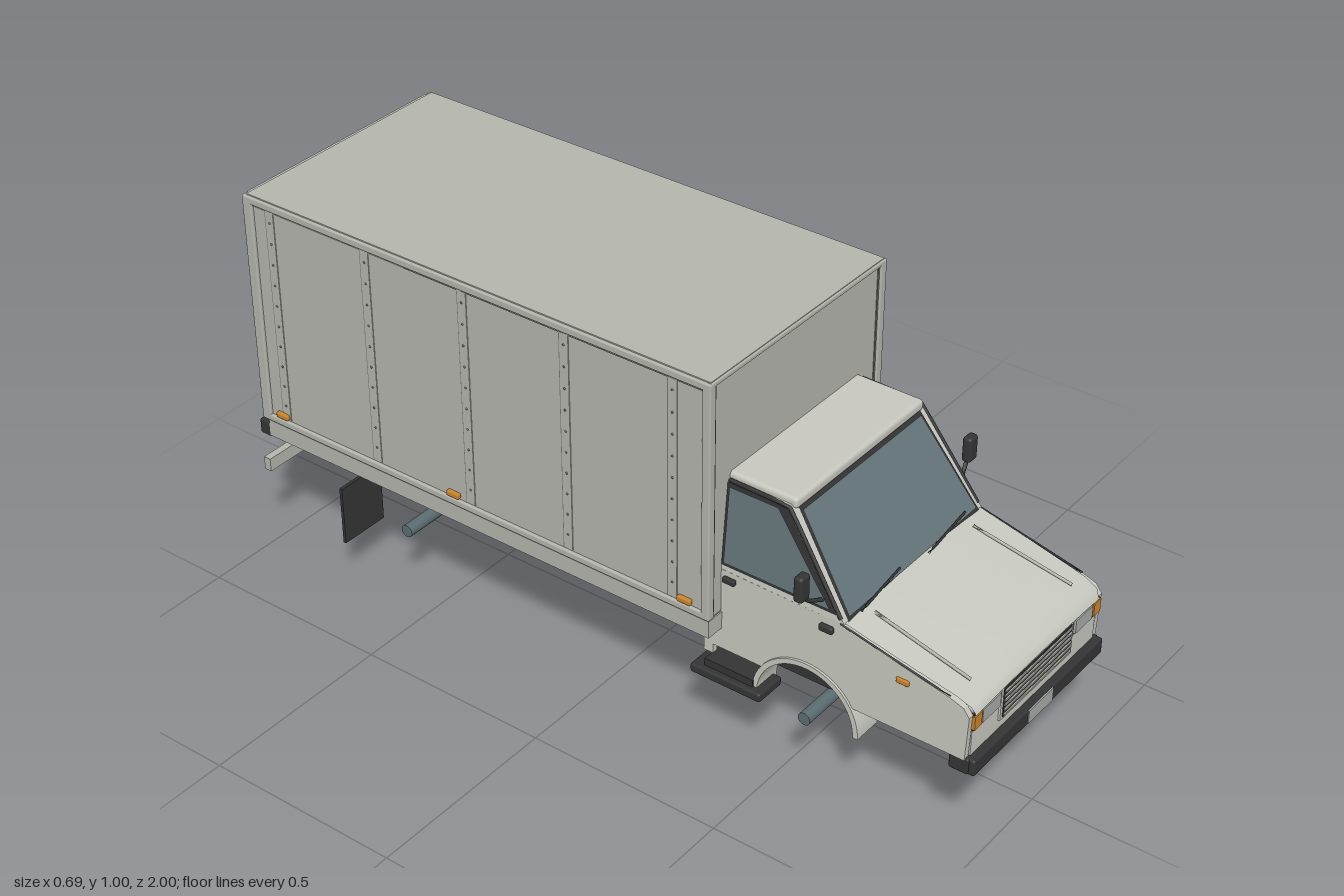
import * as THREE from 'three';
import { RoundedBoxGeometry } from 'three/addons/geometries/RoundedBoxGeometry.js';

const mat = (name, color, side = THREE.FrontSide) => {
  const m = new THREE.MeshStandardMaterial({ color, side });
  m.name = name;
  return m;
};

export function createModel() {
  const truck = new THREE.Group();
  truck.name = 'boxTruck';
  const white = mat('cabPaint', 0xc6c7be, THREE.DoubleSide);
  const grey = mat('cargoPaint', 0xb3b4ab);
  const groove = mat('seamGrey', 0x747570);
  const dark = mat('blackPlastic', 0x343434);
  const steel = mat('chassisSteel', 0x5a6c70);
  const glass = mat('glass', 0x64757a, THREE.DoubleSide);
  const amber = mat('amberLens', 0xcc8429);
  const lamp = mat('headlampLens', 0xa6aaa6);

  const add = (name, geo, material) => {
    const m = new THREE.Mesh(geo, material);
    m.name = name;
    truck.add(m);
    return m;
  };
  // Box given by its min and max on each axis
  const box = (name, material, x0, x1, y0, y1, z0, z1, r = 0) => {
    const [w, h, d] = [x1 - x0, y1 - y0, z1 - z0];
    const g = r ? new RoundedBoxGeometry(w, h, d, 2, r) : new THREE.BoxGeometry(w, h, d);
    g.translate((x0 + x1) / 2, (y0 + y1) / 2, (z0 + z1) / 2);
    return add(name, g, material);
  };
  // The same box on both sides
  const pair = (name, material, x0, x1, ...rest) => {
    box(name + 'Left', material, x0, x1, ...rest);
    box(name + 'Right', material, -x1, -x0, ...rest);
  };
  const rod = (name, material, pts, r) => add(name, new THREE.TubeGeometry(
    new THREE.CatmullRomCurve3(pts.map(p => new THREE.Vector3(...p)), false, 'catmullrom', 0.05), 8, r, 6), material);
  const quad = (name, material, pts) => {
    const g = new THREE.BufferGeometry();
    g.setAttribute('position', new THREE.Float32BufferAttribute(pts.flat(), 3));
    g.setIndex([0, 1, 2, 0, 2, 3]);
    g.computeVertexNormals();
    return add(name, g, material);
  };

  // Cargo body with its frame rails and corner posts
  box('cargoBox', grey, -0.317, 0.317, 0.39, 0.995, -0.965, 0.345);
  box('cargoFloor', grey, -0.318, 0.318, 0.34, 0.385, -0.965, 0.348);
  box('floorSeam', groove, -0.314, 0.314, 0.385, 0.39, -0.96, 0.345);
  box('roofPanel', grey, -0.318, 0.318, 0.99, 1, -0.968, 0.348);
  pair('topRail', grey, 0.312, 0.325, 0.978, 0.997, -0.97, 0.35, 0.004);
  pair('bottomRail', grey, 0.312, 0.325, 0.39, 0.408, -0.97, 0.35, 0.004);
  pair('frontPost', grey, 0.303, 0.325, 0.39, 0.997, 0.33, 0.352, 0.004);
  pair('rearPost', grey, 0.3, 0.325, 0.39, 0.997, -0.978, -0.95, 0.004);
  box('frontHeader', grey, -0.32, 0.32, 0.985, 0.998, 0.335, 0.352, 0.004);
  pair('frontSeam', groove, 0.298, 0.303, 0.4, 0.985, 0.342, 0.347);
  pair('topSeam', groove, 0.314, 0.319, 0.972, 0.977, -0.95, 0.33);

  // Panel joints with rivets, and side marker lamps
  const rivet = new THREE.SphereGeometry(0.003, 6, 4);
  for (const z of [0.25, -0.04, -0.325, -0.61, -0.9]) {
    pair('panelJoint', grey, 0.315, 0.319, 0.41, 0.975, z - 0.012, z + 0.012);
    pair('panelSeam', groove, 0.315, 0.3182, 0.41, 0.975, z - 0.0145, z - 0.012);
    for (let i = 0; i < 10; i++) for (const s of [1, -1])
      add('rivet', rivet, groove).position.set(s * 0.319, 0.45 + i * 0.055, z);
  }
  for (const z of [0.285, -0.375, -0.91]) pair('sideMarker', amber, 0.316, 0.328, 0.412, 0.426, z - 0.018, z + 0.018, 0.003);

  // Slatted roller door
  box('doorHeader', grey, -0.305, 0.305, 0.968, 0.997, -0.978, -0.96);
  box('doorBacking', groove, -0.3, 0.3, 0.4, 0.968, -0.969, -0.96);
  for (let i = 0; i < 11; i++) {
    const y = 0.402 + i * 0.0515;
    box('doorSlat', grey, -0.292, 0.292, y, y + 0.0465, -0.975, -0.96);
  }
  for (let i = 0; i < 5; i++)
    box('rearMarker', amber, -0.1 + i * 0.045, -0.08 + i * 0.045, 0.388, 0.396, -0.982, -0.964);

  // Rear bumper, tail lamps and loose lower bar
  box('rearBumper', dark, -0.318, 0.318, 0.335, 0.375, -0.998, -0.96, 0.005);
  pair('tailLamp', amber, 0.21, 0.29, 0.348, 0.364, -1, -0.99);
  pair('bumperBracket', dark, 0.11, 0.16, 0.265, 0.345, -0.95, -0.92);
  box('underrunBar', grey, -0.318, 0.318, 0.23, 0.265, -0.995, -0.975);

  // Ladder frame, cross members, axles and mud flaps
  pair('frameRail', dark, 0.137, 0.17, 0.214, 0.284, -0.885, 0.88);
  for (const z of [0.51, 0.25, -0.49, -0.615]) box('crossMember', steel, -0.165, 0.165, 0.285, 0.318, z - 0.011, z + 0.011);
  for (const z of [0.8, 0.05, -0.25, -0.84]) box('frameBrace', steel, -0.14, 0.14, 0.225, 0.275, z - 0.012, z + 0.012);
  for (const z of [0.575, -0.575]) {
    const axle = add('axle', new THREE.CylinderGeometry(0.016, 0.016, 0.55, 16), steel);
    axle.rotation.z = Math.PI / 2;
    axle.position.set(0, 0.2, z);
  }
  pair('mudFlap', dark, 0.19, 0.325, 0.125, 0.282, -0.739, -0.731);
  box('exhaustPipe', lamp, 0.165, 0.205, 0.22, 0.236, 0.1, 0.55);

  // Fuel tank with straps
  box('fuelTank', steel, 0.18, 0.285, 0.212, 0.298, -0.265, 0.005, 0.015);
  for (const z of [-0.255, -0.005]) box('tankEnd', dark, 0.175, 0.29, 0.207, 0.303, z - 0.012, z + 0.012, 0.008);
  box('tankTopStrap', dark, 0.2, 0.29, 0.29, 0.304, -0.26, 0);
  for (const z of [-0.18, -0.08]) box('tankStrap', dark, 0.176, 0.289, 0.208, 0.302, z - 0.006, z + 0.006, 0.004);

  // Lone wheel rim with hand holes
  const disc = new THREE.Shape().absarc(0, 0, 0.068, 0, Math.PI * 2);
  for (let i = 0; i < 8; i++) {
    const a = i * Math.PI / 4;
    disc.holes.push(new THREE.Path().absarc(Math.cos(a) * 0.048, Math.sin(a) * 0.048, 0.009, 0, Math.PI * 2));
  }
  const rim = new THREE.Group();
  rim.name = 'wheelRim';
  rim.add(new THREE.Mesh(new THREE.ExtrudeGeometry(disc, { depth: 0.005, bevelEnabled: false, curveSegments: 16 }), steel));
  const lip = new THREE.Mesh(new THREE.TorusGeometry(0.071, 0.005, 8, 40), dark);
  lip.position.z = 0.0025;
  const hub = new THREE.Mesh(new THREE.CylinderGeometry(0.024, 0.026, 0.01, 20).rotateX(Math.PI / 2), steel);
  hub.position.z = 0.003;
  rim.add(lip, hub);
  rim.rotation.y = Math.PI / 2;
  rim.position.set(0.036, 0.081, 0);
  truck.add(rim);

  // Cab side panels with wheel arch cut
  const side = new THREE.Shape();
  side.moveTo(0.975, 0.285);
  for (const p of [[0.98, 0.4], [0.965, 0.42], [0.93, 0.432], [0.8, 0.46], [0.66, 0.495], [0.3, 0.5], [0.3, 0.26], [0.325, 0.26], [0.325, 0.285]]) side.lineTo(...p);
  const a0 = Math.asin(0.07 / 0.135);
  side.absarc(0.575, 0.215, 0.135, Math.PI - a0, a0, true);
  side.closePath();
  const lipShape = new THREE.Shape();
  lipShape.absarc(0.575, 0.213, 0.14, 0, Math.PI, false);
  lipShape.absarc(0.575, 0.213, 0.127, Math.PI, 0, true);
  const alongX = (shape, x, depth) => new THREE.ExtrudeGeometry(shape, { depth, bevelEnabled: false, curveSegments: 24 })
    .rotateY(-Math.PI / 2).scale(-1, 1, 1).translate(x, 0, 0);
  const fixWinding = g => {
    const p = g.attributes.position.array;
    for (let i = 0; i < p.length; i += 9) for (let k = 0; k < 3; k++) [p[i + 3 + k], p[i + 6 + k]] = [p[i + 6 + k], p[i + 3 + k]];
    g.computeVertexNormals();
    return g;
  };
  for (const x of [0.255, -0.27]) add('cabSide', fixWinding(alongX(side, x, 0.015)), white);
  for (const x of [0.2, -0.276]) add('archLip', fixWinding(alongX(lipShape, x, 0.076)), white);
  for (const x of [0.19, -0.268]) add('archLiner', new THREE.CylinderGeometry(0.126, 0.126, 0.078, 24, 1, true, 0, Math.PI)
    .rotateZ(Math.PI / 2).translate(x + 0.039, 0.213, 0.575), dark);

  // Hood lofted from cross rows of depth, height and half width
  const rows = [[0.985, 0.398, 0.25], [0.975, 0.418, 0.256], [0.94, 0.434, 0.26], [0.8, 0.466, 0.264], [0.65, 0.5, 0.266]];
  const hood = new THREE.PlaneGeometry(1, 1, 8, rows.length - 1);
  const hp = hood.attributes.position;
  for (let i = 0; i < hp.count; i++) {
    const [z, y, w] = rows[rows.length - 1 - Math.floor(i / 9)], u = hp.getX(i) * 2;
    hp.setXYZ(i, u * w, y + 0.006 * (1 - u * u), z);
  }
  hood.computeVertexNormals();
  add('hood', hood, white);
  for (const s of [1, -1]) {
    rod('hoodStrip', grey, [[s * 0.195, 0.498, 0.69], [s * 0.205, 0.443, 0.94]], 0.004);
    rod('hoodGap', dark, [[s * 0.268, 0.434, 0.93], [s * 0.27, 0.495, 0.655]], 0.0025);
  }

  // Cab floor, back and glazed upper
  box('cabFloor', dark, -0.255, 0.255, 0.345, 0.355, 0.3, 0.66);
  box('cabBack', white, -0.256, 0.256, 0.285, 0.5, 0.3, 0.31);
  const upper = new THREE.BoxGeometry(2, 1, 1);
  const up = upper.attributes.position;
  for (let i = 0; i < up.count; i++) {
    const top = up.getY(i) > 0;
    up.setXYZ(i, up.getX(i) * (top ? 0.248 : 0.27), top ? 0.722 : 0.495, up.getZ(i) > 0 ? (top ? 0.505 : 0.665) : 0.34);
  }
  upper.computeVertexNormals();
  add('cabUpper', upper, white);
  box('cabRoof', white, -0.243, 0.243, 0.71, 0.738, 0.335, 0.518, 0.01);
  const screen = (x, y, o) => [x, y, 0.665 - (y - 0.495) * 0.705 + o];
  const sideX = (y, o) => 0.27 - (y - 0.495) * 0.097 + o;
  quad('windshieldSeal', dark, [screen(-0.256, 0.497, 0.003), screen(0.256, 0.497, 0.003), screen(0.231, 0.713, 0.003), screen(-0.231, 0.713, 0.003)]);
  quad('windshield', glass, [screen(-0.249, 0.505, 0.006), screen(0.249, 0.505, 0.006), screen(0.225, 0.706, 0.006), screen(-0.225, 0.706, 0.006)]);
  for (const s of [1, -1]) {
    const pane = (y0, y1, zf, zr, o) => {
      const pts = [[s * sideX(y0, o), y0, 0.655 - zf], [s * sideX(y0, o), y0, zr], [s * sideX(y1, o), y1, zr], [s * sideX(y1, o), y1, 0.505 - zf]];
      return s > 0 ? pts : pts.reverse();
    };
    quad('sideWindowSeal', dark, pane(0.512, 0.718, 0.008, 0.345, 0.002));
    quad('sideWindow', glass, pane(0.52, 0.708, 0.026, 0.352, 0.005));
    rod('rainGutter', dark, [[s * 0.268, 0.505, 0.655], [s * 0.25, 0.718, 0.505], [s * 0.25, 0.723, 0.35]], 0.005);
    // Wipers, mirrors, handles and hood latches
    rod('wiperArm', dark, [screen(s * 0.13 - 0.085, 0.503, 0.012), screen(s * 0.13 + 0.075, 0.517, 0.012)], 0.003);
    rod('mirrorArm', dark, [[s * 0.262, 0.535, 0.61], [s * 0.3, 0.545, 0.595], [s * 0.322, 0.568, 0.59]], 0.005);
  }
  pair('mirror', dark, 0.309, 0.343, 0.562, 0.627, 0.58, 0.604, 0.008);
  pair('doorHandle', dark, 0.268, 0.28, 0.472, 0.486, 0.353, 0.385, 0.003);
  pair('hoodLatch', dark, 0.264, 0.28, 0.46, 0.478, 0.605, 0.64, 0.005);
  pair('fenderMarker', amber, 0.266, 0.275, 0.412, 0.426, 0.8, 0.832, 0.003);
  pair('step', dark, 0.21, 0.295, 0.203, 0.226, 0.28, 0.47, 0.006);
  pair('stepRiser', dark, 0.21, 0.28, 0.22, 0.245, 0.31, 0.44);

  // Nose with grille, lamps, bumper and plate
  box('nosePanel', white, -0.252, 0.252, 0.285, 0.405, 0.955, 0.978);
  box('noseRecess', groove, -0.243, 0.243, 0.355, 0.402, 0.97, 0.98);
  box('grilleFrame', white, -0.146, 0.146, 0.314, 0.403, 0.97, 0.983);
  box('grilleBack', dark, -0.138, 0.138, 0.32, 0.398, 0.975, 0.985);
  for (let i = 0; i < 6; i++) box('grilleBar', grey, -0.136, 0.136, 0.325 + i * 0.0125, 0.3295 + i * 0.0125, 0.98, 0.988);
  pair('headlamp', lamp, 0.153, 0.224, 0.362, 0.397, 0.972, 0.986);
  pair('turnLampFrame', dark, 0.226, 0.255, 0.358, 0.402, 0.95, 0.983);
  pair('turnLamp', amber, 0.229, 0.257, 0.363, 0.398, 0.955, 0.987);
  box('frontBumper', dark, -0.265, 0.265, 0.247, 0.289, 0.96, 0.998, 0.006);
  pair('bumperEnd', dark, 0.25, 0.268, 0.247, 0.289, 0.935, 0.985, 0.006);
  pair('bumperMount', dark, 0.137, 0.17, 0.22, 0.28, 0.87, 0.965);
  box('numberPlate', lamp, -0.05, 0.05, 0.252, 0.287, 0.993, 1);
  return truck;
}
